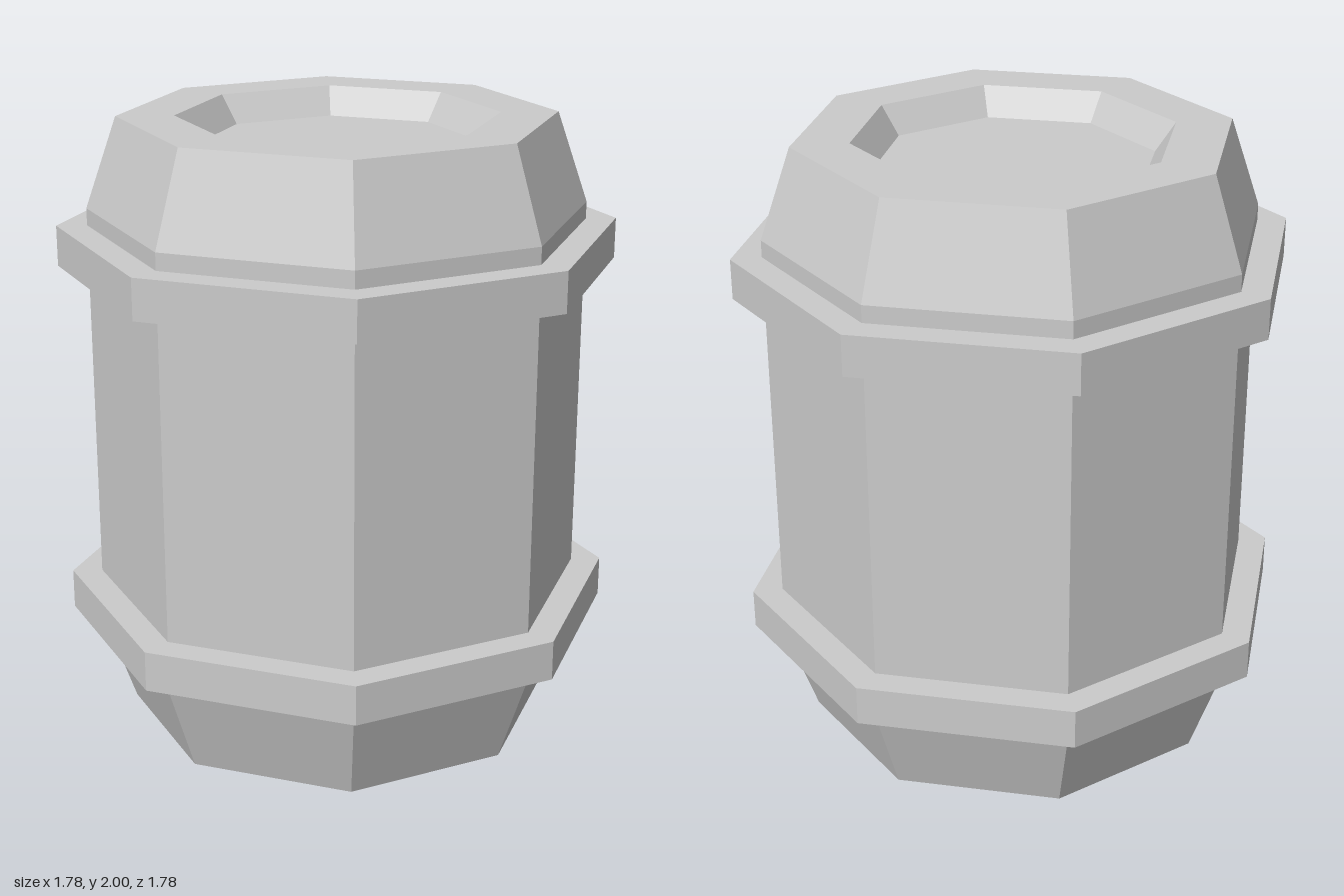
import * as THREE from 'three';

const material = new THREE.MeshStandardMaterial({ color: 0xcccccc, flatShading: true });

// Eight-sided solid turned from [radius, height] pairs
function turned(name, profile) {
  const points = profile.map(([r, y]) => new THREE.Vector2(r, y));
  const mesh = new THREE.Mesh(new THREE.LatheGeometry(points, 8), material);
  mesh.name = name;
  return mesh;
}

export function createModel() {
  const barrel = new THREE.Group();
  barrel.name = 'barrel';

  // Body with tapered ends and a recessed panel in the top and bottom
  const lowerHalf = [[0, 0.09], [0.445, 0.09], [0.51, 0], [0.692, 0], [0.793, 0.29]];
  const upperHalf = lowerHalf.map(([r, y]) => [r, 2 - y]).reverse();
  barrel.add(turned('body', [...lowerHalf, ...upperHalf]));

  // Two hoops around the body
  const hoops = { lowerHoop: 0.405, upperHoop: 1.59 };
  for (const [name, y] of Object.entries(hoops)) {
    const hoop = turned(name, [[0.78, -0.065], [0.89, -0.065], [0.89, 0.065], [0.78, 0.065]]);
    hoop.position.y = y;
    barrel.add(hoop);
  }
  return barrel;
}
